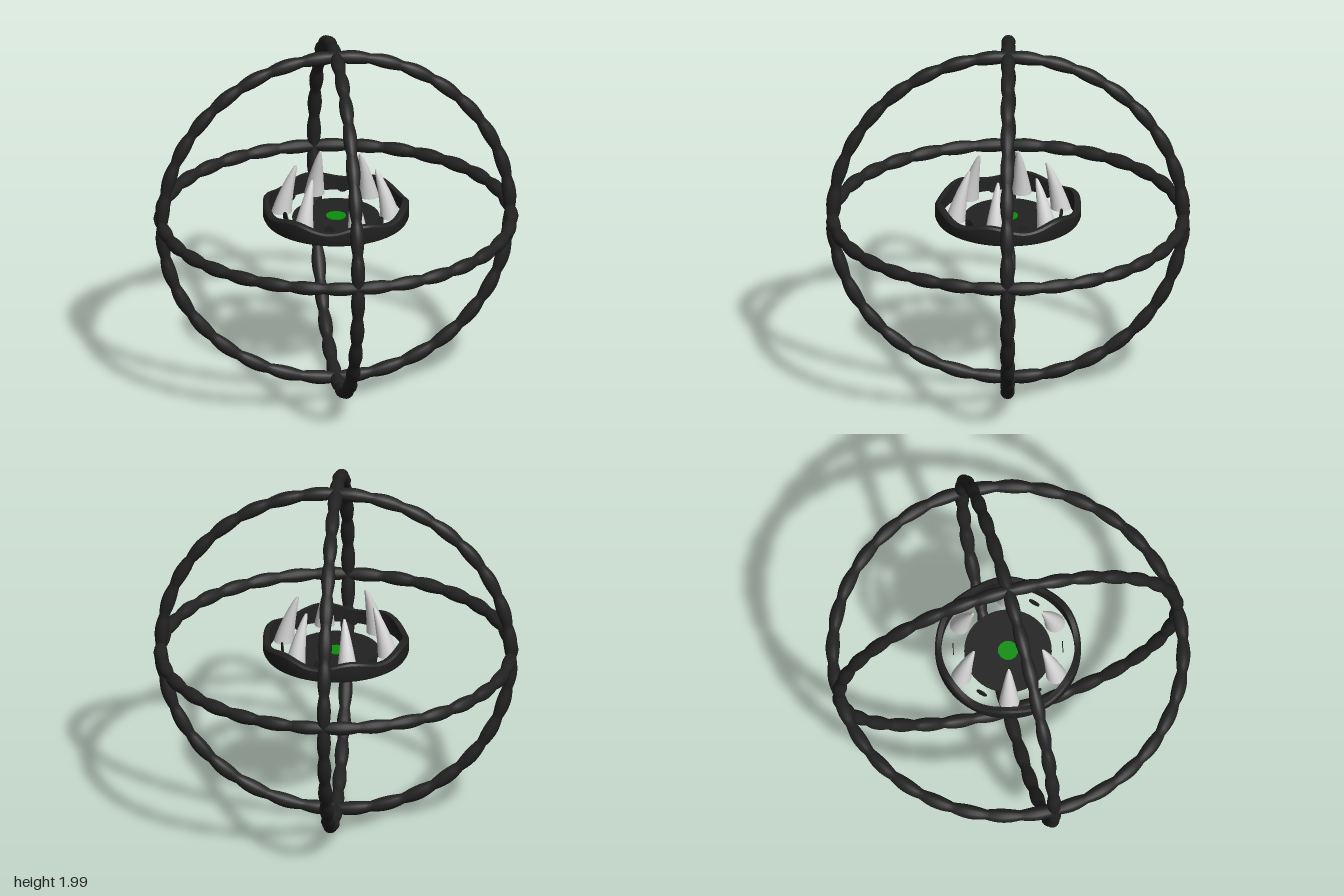
import * as THREE from 'three';
import { mergeVertices, toCreasedNormals } from 'three/addons/utils/BufferGeometryUtils.js';

const material = (name, color) => {
  const m = new THREE.MeshStandardMaterial({ color });
  m.name = name;
  return m;
};

// Move every vertex of a geometry by a rule
function reshape(geometry, rule) {
  const pos = geometry.attributes.position;
  const p = new THREE.Vector3();
  for (let i = 0; i < pos.count; i++) {
    rule(p.fromBufferAttribute(pos, i));
    pos.setXYZ(i, p.x, p.y, p.z);
  }
  return geometry;
}

// Torus whose tube swells into a chain of rounded knuckles
function knuckleRing(radius, thin, thick, knuckles) {
  const g = new THREE.TorusGeometry(radius, thin, 14, knuckles * 8);
  reshape(g, (p) => {
    const u = Math.atan2(p.y, p.x);
    const swell = 1 + (thick / thin - 1) * Math.abs(Math.sin((u * knuckles) / 2));
    const d = radius + (Math.hypot(p.x, p.y) - radius) * swell;
    p.set(d * Math.cos(u), d * Math.sin(u), p.z * swell);
  });
  g.deleteAttribute('uv');
  g.deleteAttribute('normal');
  const merged = mergeVertices(g);
  merged.computeVertexNormals();
  return merged;
}

// Tapered fang curving towards the centre (-x), base at y = 0
function fangGeometry(height, radius) {
  const g = new THREE.CylinderGeometry(1, 1, height, 20, 14);
  reshape(g, (p) => {
    const t = THREE.MathUtils.clamp(p.y / height + 0.5, 0, 1);
    const r = radius * (1 - t) ** 0.8 + 0.006 * t;
    p.set(p.x * r - 0.05 * t - 0.03 * t * t, t * height, p.z * r);
  });
  g.deleteAttribute('uv');
  const merged = mergeVertices(g);
  merged.computeVertexNormals();
  return merged;
}

export function createModel() {
  const black = material('blackMetal', 0x222222);
  const bone = material('bone', 0xd6d6d6);
  const green = material('greenGem', 0x0c8f0c);

  const model = new THREE.Group();
  model.name = 'fangedOrb';
  const add = (name, geometry, mat, parent = model) => {
    const mesh = new THREE.Mesh(geometry, mat);
    mesh.name = name;
    parent.add(mesh);
    return mesh;
  };

  // Three crossing rings
  const ring = knuckleRing(0.961, 0.028, 0.039, 32);
  const turns = { frontRing: [0, 0], sideRing: [0, Math.PI / 2], levelRing: [Math.PI / 2, 0] };
  for (const [name, [rx, ry]] of Object.entries(turns)) {
    const mesh = add(name, ring, black);
    mesh.position.y = 1;
    mesh.rotation.set(rx, ry, 0);
  }

  // Crown band, its upper edge rising behind each fang
  const first = THREE.MathUtils.degToRad(14);
  const profile = [[0.365, 1], [0.392, 1], [0.4, 1.015], [0.4, 1.08], [0.39, 1.09], [0.365, 1.09], [0.365, 1]];
  const band = new THREE.LatheGeometry(profile.map(([x, y]) => new THREE.Vector2(x, y)), 96);
  reshape(band, (p) => {
    if (p.y > 1.05) p.y += 0.018 * Math.cos(6 * (Math.atan2(p.z, p.x) - first));
  });
  add('crownBand', toCreasedNormals(band, 0.6), black);

  // Fangs, with a small upright disc between each pair
  const fang = fangGeometry(0.28, 0.056);
  const stud = new THREE.CylinderGeometry(0.032, 0.032, 0.005, 16).rotateZ(Math.PI / 2);
  for (let i = 0; i < 6; i++) {
    const spoke = new THREE.Group();
    spoke.name = 'crownSpoke' + (i + 1);
    spoke.rotation.y = -(first + (i * Math.PI) / 3);
    model.add(spoke);
    add('fang', fang, bone, spoke).position.set(0.3, 1.02, 0);
    const disc = add('stud', stud, black, spoke);
    disc.position.set(0.3 * Math.cos(Math.PI / 6), 1.05, 0.3 * Math.sin(Math.PI / 6));
    disc.rotation.y = -Math.PI / 6;
  }

  // Central plate with a gem showing on both sides
  add('centerPlate', new THREE.CylinderGeometry(0.24, 0.24, 0.012, 48), black).position.y = 1;
  add('centerGem', new THREE.CylinderGeometry(0.056, 0.056, 0.022, 12), green).position.y = 1;

  return model;
}
